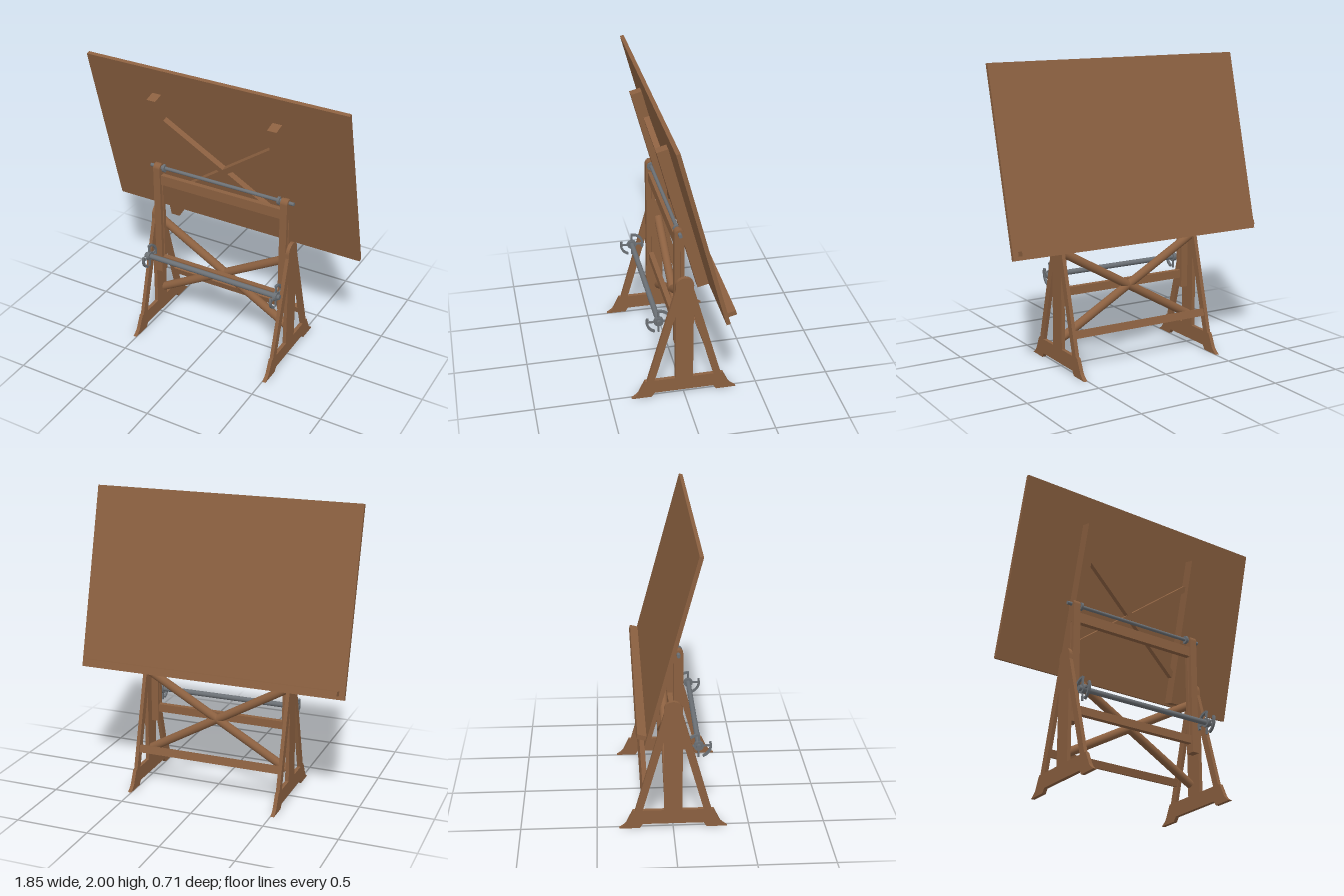
import * as THREE from 'three';

const wood = new THREE.MeshStandardMaterial({ color: 0x8b6040 });
const metal = new THREE.MeshStandardMaterial({ color: 0x6b7075 });

function add(parent, name, geo, mat, x = 0, y = 0, z = 0) {
  const m = new THREE.Mesh(geo, mat);
  m.name = name;
  m.position.set(x, y, z);
  parent.add(m);
  return m;
}

const box = (w, h, d) => new THREE.BoxGeometry(w, h, d);
const path = (pts, P = THREE.Shape) => new P(pts.map(p => new THREE.Vector2(...p)));

// Rod along x
const rod = (r, len, sides = 20) => new THREE.CylinderGeometry(r, r, len, sides).rotateZ(Math.PI / 2);

// Extrude a (z, y) shape along x, centred on x = 0
function sideways(shape, depth) {
  const g = new THREE.ExtrudeGeometry(shape, { depth, bevelEnabled: false, curveSegments: 16 });
  return g.translate(0, 0, -depth / 2).rotateY(-Math.PI / 2);
}

// A-shaped side frame with flared feet and a domed top
function sideFrameGeometry() {
  const s = new THREE.Shape();
  s.moveTo(0.355, 0);
  s.quadraticCurveTo(0.31, 0.025, 0.3, 0.055);
  s.lineTo(0.265, 0.13);
  s.lineTo(0.25, 0.13);
  s.lineTo(0.06, 0.82);
  s.lineTo(0.06, 0.85);
  s.absarc(0, 0.85, 0.06, 0, Math.PI, false);
  s.lineTo(-0.06, 0.82);
  s.lineTo(-0.25, 0.13);
  s.lineTo(-0.265, 0.13);
  s.lineTo(-0.3, 0.055);
  s.quadraticCurveTo(-0.31, 0.025, -0.355, 0);
  s.lineTo(-0.22, 0);
  s.lineTo(-0.2, 0.03);
  s.lineTo(0.2, 0.03);
  s.lineTo(0.22, 0);
  for (const k of [1, -1]) {
    s.holes.push(path([[0.2 * k, 0.13], [0.06 * k, 0.13], [0.06 * k, 0.63]], THREE.Path));
  }
  return sideways(s, 0.025);
}

// Sliding post with a round top and a long slot
function postGeometry() {
  const s = new THREE.Shape();
  s.moveTo(0, 0.4);
  s.lineTo(0.063, 0.4);
  s.lineTo(0.063, 1.22);
  s.absarc(0.0315, 1.22, 0.0315, 0, Math.PI, false);
  s.lineTo(0, 0.4);
  s.holes.push(path([[0.026, 0.46], [0.026, 1.1], [0.037, 1.1], [0.037, 0.46]], THREE.Path));
  return sideways(s, 0.05);
}

// Hand wheel: hub, spokes and two rim segments
function handWheel() {
  const g = new THREE.Group();
  g.name = 'handWheel';
  add(g, 'wheelHub', rod(0.032, 0.024), metal);
  for (let i = 0; i < 4; i++) {
    const a = i * Math.PI / 2;
    const spoke = add(g, 'wheelSpoke', box(0.01, 0.07, 0.012), metal, 0, 0.045 * Math.cos(a), 0.045 * Math.sin(a));
    spoke.rotation.x = a;
  }
  for (const [from, to] of [[175, 290], [20, 110]]) {
    const a = from * Math.PI / 180, b = to * Math.PI / 180;
    const s = new THREE.Shape();
    s.absarc(0, 0, 0.085, a, b, false);
    s.absarc(0, 0, 0.07, b, a, true);
    // shape runs with +z to the right, so mirror it by a half turn of angles
    const rim = add(g, 'wheelRim', sideways(s, 0.016), metal);
    rim.rotation.x = from > 90 ? Math.PI / 2 : -Math.PI / 2 + Math.PI;
  }
  return g;
}

export function createModel() {
  const model = new THREE.Group();
  model.name = 'draftingTable';

  // Side frames, posts and their fittings
  const frameGeo = sideFrameGeometry(), postGeo = postGeometry();
  for (const k of [1, -1]) {
    add(model, 'sideFrame', frameGeo, wood, k * 0.5125);
    add(model, 'slidingPost', postGeo, wood, k * 0.476);
    add(model, 'postSlotFloor', box(0.036, 0.65, 0.013), wood, k * 0.476, 0.78, 0.0315);
    add(model, 'pivotCollar', rod(0.028, 0.016), metal, k * 0.43, 1.225, 0.0315);
    add(model, 'pivotNut', rod(0.018, 0.03, 6), metal, k * 0.437, 1.225, 0.0315);
    const wheel = handWheel();
    wheel.position.set(k * 0.49, 0.58, 0.165);
    model.add(wheel);
  }

  // Rails between the posts and between the rear legs
  add(model, 'upperRail', box(0.91, 0.07, 0.035), wood, 0, 1.135, 0.0315);
  add(model, 'lowerRail', box(0.91, 0.055, 0.035), wood, 0, 0.4925, 0.0315);
  add(model, 'rearStretcher', box(1.0, 0.05, 0.035), wood, 0, 0.26, -0.188).rotation.x = 0.27;

  // Round crossed braces
  for (const k of [1, -1]) {
    const brace = add(model, 'crossBrace', new THREE.CylinderGeometry(0.029, 0.029, 1.15, 24), wood, 0, 0.49, -0.03);
    brace.rotation.z = -k * Math.atan2(1, 0.57);
  }

  // Metal shafts
  add(model, 'pivotRod', rod(0.012, 1.07), metal, 0, 1.225, 0.0315);
  add(model, 'wheelShaft', rod(0.018, 1.04), metal, 0, 0.58, 0.165);

  // Tilted board, origin at its top edge, drawing face towards -z
  const top = new THREE.Group();
  top.name = 'tiltedTop';
  top.position.set(0, 1.993, 0.147);
  top.rotation.x = Math.PI / 12;
  model.add(top);
  add(top, 'drawingBoard', box(1.85, 1.235, 0.026), wood, 0, -0.6175, -0.013);
  add(top, 'pencilLedge', box(1.775, 0.03, 0.058), wood, 0, -1.195, -0.054);
  for (const k of [1, -1]) {
    add(top, 'boardBatten', box(0.065, 1.025, 0.0755), wood, k * 0.4325, -0.7125, 0.03775);
    const bar = add(top, 'boardCrossBar', box(1.03, 0.04, 0.04), wood, 0, -0.715, 0.02);
    bar.rotation.z = k * Math.atan2(0.31, 0.4);
  }
  return model;
}
